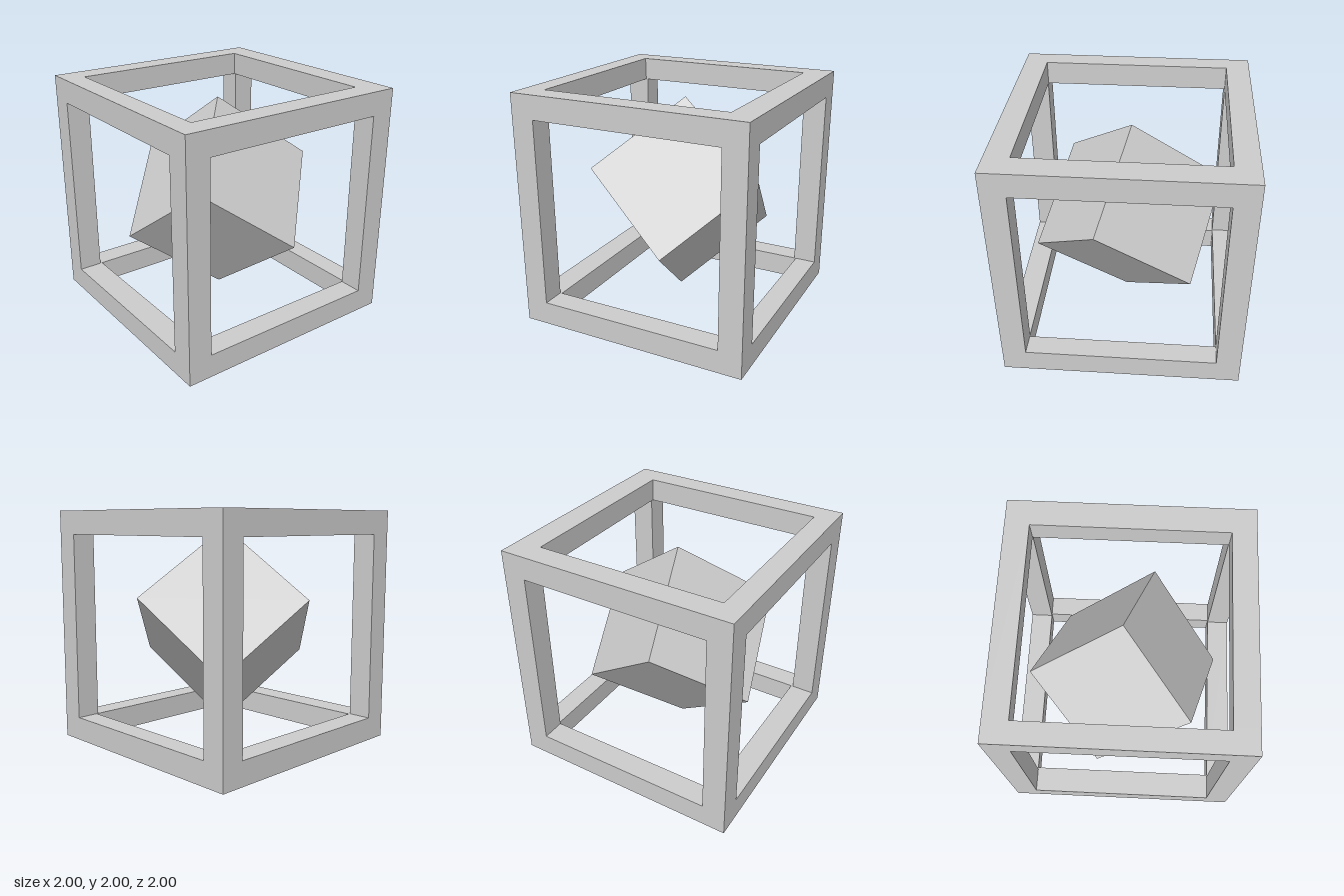
import * as THREE from 'three';

export function createModel() {
  const model = new THREE.Group();
  const grey = new THREE.MeshStandardMaterial({ color: 0xcccccc });
  grey.name = 'grey';

  const frame = new THREE.Group();
  frame.name = 'frame';
  model.add(frame);

  const addBar = (name, w, h, d, x, y, z) => {
    const geometry = new THREE.BoxGeometry(w, h, d).translate(x, y, z);
    const bar = new THREE.Mesh(geometry, grey);
    bar.name = name;
    frame.add(bar);
    return bar;
  };

  // The vertical opening leans very slightly in z
  const lean = (y) => 0.02 * (y - 1);

  for (const a of [-1, 1]) {
    for (const b of [-1, 1]) {
      // Corner posts
      addBar('cornerPost', 0.2, 2, 0.2, a * 0.9, 1, b * 0.9);
      // Bars running front to back
      addBar('sideBar', 0.2, 0.2, 1.6, a * 0.9, 1 + b * 0.9, 0);
      // Bars running left to right, inner face leaning
      const bar = addBar('crossBar', 1.6, 0.2, 0.2, 0, 1 + a * 0.9, b * 0.9);
      const p = bar.geometry.attributes.position;
      for (let i = 0; i < p.count; i++) {
        if (Math.abs(p.getZ(i)) < 0.9) p.setZ(i, p.getZ(i) + lean(p.getY(i)));
      }
      bar.geometry.computeVertexNormals();
    }
  }

  // Tilted cube held in the middle of the frame
  const cube = new THREE.Mesh(new THREE.BoxGeometry(1, 1, 1), grey);
  cube.name = 'innerCube';
  const u = new THREE.Vector3(0.77, 0.59, -0.2).normalize();
  const w = new THREE.Vector3(-0.24, 0.58, 0.775);
  w.addScaledVector(u, -w.dot(u)).normalize();
  const v = new THREE.Vector3().crossVectors(w, u);
  cube.quaternion.setFromRotationMatrix(new THREE.Matrix4().makeBasis(u, v, w));
  cube.position.y = 1;
  model.add(cube);

  return model;
}
